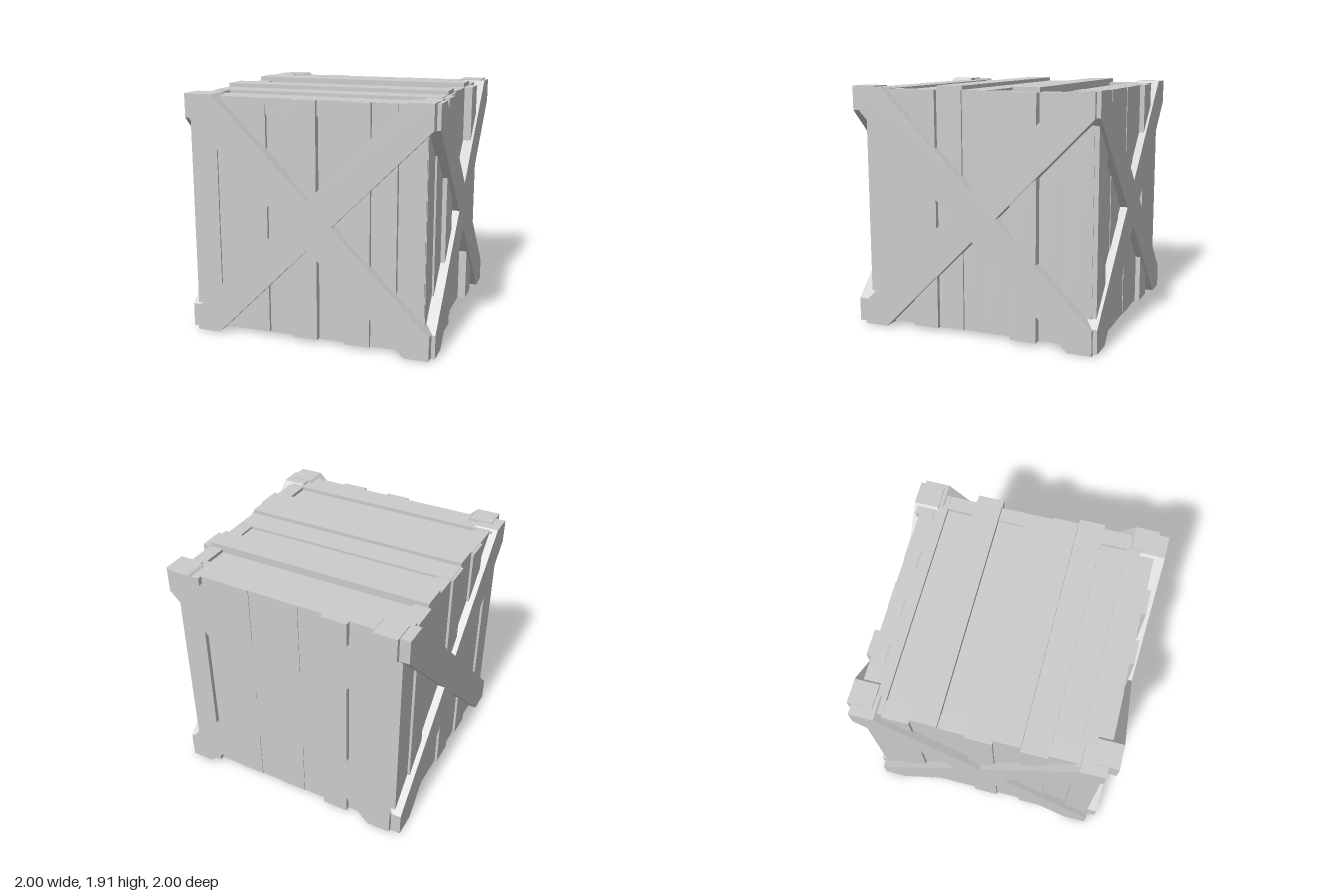
import * as THREE from 'three';

const material = new THREE.MeshStandardMaterial({ color: 0xcccccc, flatShading: true });
const LO = -0.94, HI = 0.91, PITCH = (HI - LO) / 9;
const BOTTOM = 0.03, WALL_TOP = 1.88;

// Outer face position of each plank, in order of rising x or z
const FRONT = [0.91, 0.915, 0.915, 0.91, 0.945, 0.915, 0.95, 0.92, 0.92];
const BACK = [-0.94, -0.94, -0.98, -0.94, -0.945, -0.94, -0.945, -0.94, -0.975];
const RIGHT = [-0.94, -0.96, -0.94, -0.94, -0.96, -0.94, -0.96, -0.94, -0.96];
const LEFT = [0.915, 0.915, 0.98, 0.915, 0.915, 0.93, 0.965, 0.93, 0.915];
const LID = [1.88, 1.85, 1.91, 1.86, 1.88, 1.91, 1.88, 1.85, 1.88];
const FRONT_GAPS = [0, 2, 4, 7];

// Box between two opposite corners
function block(name, x0, x1, y0, y1, z0, z1) {
  const mesh = new THREE.Mesh(new THREE.BoxGeometry(x1 - x0, y1 - y0, z1 - z0), material);
  mesh.position.set((x0 + x1) / 2, (y0 + y1) / 2, (z0 + z1) / 2);
  mesh.name = name;
  return mesh;
}

// X-shaped brace with its ends cut square to the corners of the crate
function crossBrace(name, half, depth) {
  const w = 0.187, e = half - w, h = half;
  const quarter = [[w, 0], [h, e], [h, h], [e, h]];
  const points = [];
  for (let i = 0; i < 4; i++) {
    const c = [1, 0, -1, 0][i], s = [0, 1, 0, -1][i];
    quarter.forEach(([x, y]) => points.push(new THREE.Vector2(x * c - y * s, x * s + y * c)));
  }
  const geometry = new THREE.ExtrudeGeometry(new THREE.Shape(points), { depth, bevelEnabled: false });
  geometry.translate(0, 0, -depth / 2);
  const mesh = new THREE.Mesh(geometry, material);
  mesh.name = name;
  return mesh;
}

export function createModel() {
  const crate = new THREE.Group();
  crate.name = 'crate';

  // Inner body and floor behind the planks
  crate.add(block('innerBody', LO + 0.03, HI - 0.03, BOTTOM, 1.82, LO + 0.03, HI - 0.03));

  const walls = {};
  for (const name of ['frontPlanks', 'backPlanks', 'leftPlanks', 'rightPlanks', 'lidPlanks']) {
    walls[name] = new THREE.Group();
    walls[name].name = name;
    crate.add(walls[name]);
  }

  // Nine planks on each wall and on the lid
  for (let i = 0; i < 9; i++) {
    const a = LO + i * PITCH, b = a + PITCH;
    const gap = FRONT_GAPS.includes(i) ? 0.01 : 0;
    walls.frontPlanks.add(block('plank', a, b - gap, BOTTOM, WALL_TOP - 0.002, 0.8, FRONT[i]));
    walls.backPlanks.add(block('plank', a, b, BOTTOM, WALL_TOP + 0.002, BACK[i], -0.83));
    walls.leftPlanks.add(block('plank', 0.8, LEFT[i], BOTTOM, WALL_TOP - 0.004, a, b));
    walls.rightPlanks.add(block('plank', RIGHT[i], -0.83, BOTTOM, WALL_TOP - 0.004, a, b));
    walls.lidPlanks.add(block('plank', LO, HI, 1.76, LID[i], a, b));
  }

  // Cross braces on the four walls
  const thick = 0.19, offset = 1 - thick / 2;
  for (const side of [1, -1]) {
    const brace = crossBrace(side > 0 ? 'frontBrace' : 'backBrace', 0.945, thick);
    brace.position.set(0.025, 0.953, side * offset);
    const sideBrace = crossBrace(side > 0 ? 'leftBrace' : 'rightBrace', 0.945, thick);
    sideBrace.rotation.y = Math.PI / 2;
    sideBrace.position.set(side * offset, 0.945, -0.0225);
    crate.add(brace, sideBrace);
  }
  return crate;
}
